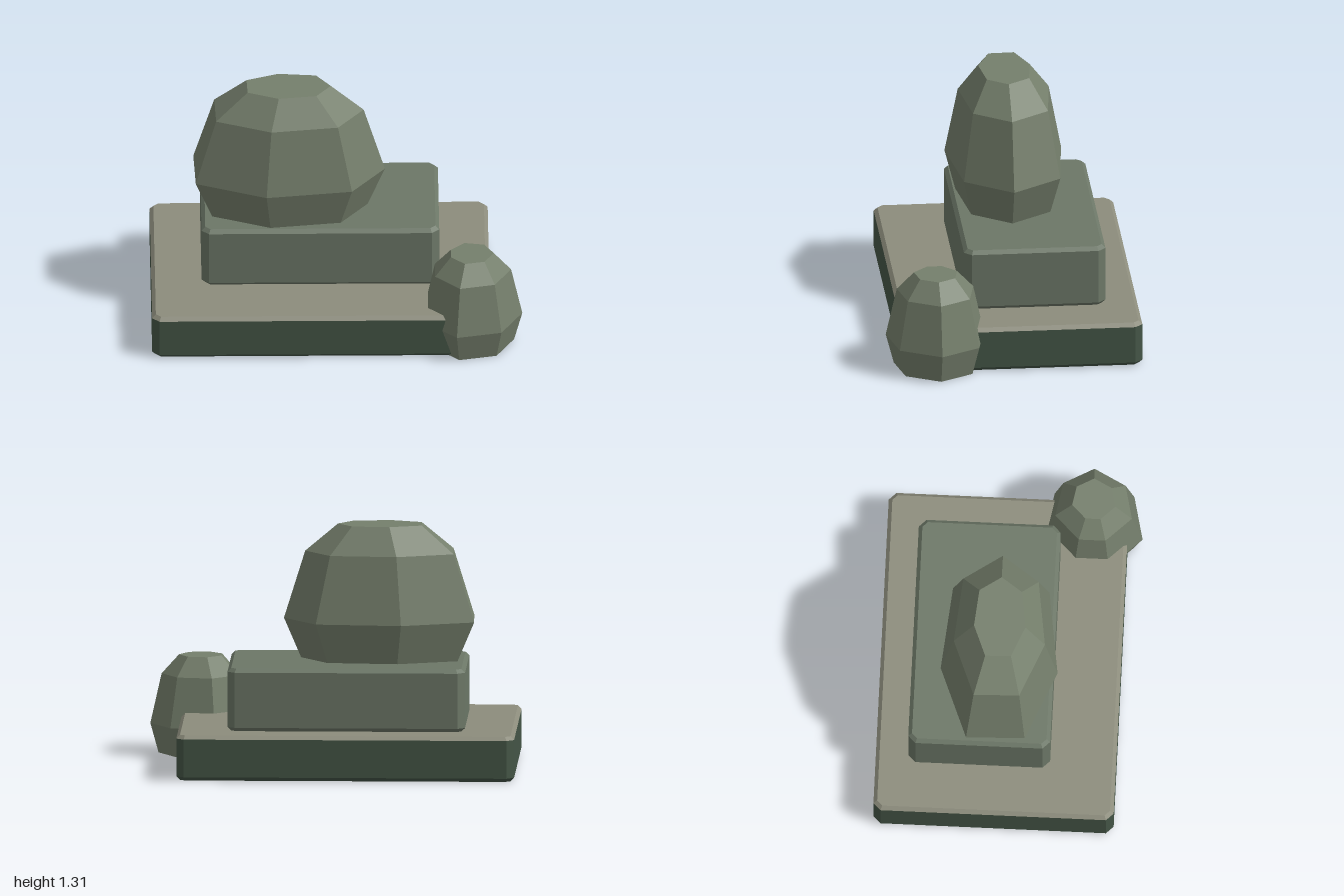
import * as THREE from 'three';

// Closed faceted solid from rings of [x, y, z] points (bottom to top, running from +x towards +z)
function loft(rings) {
  const pos = [];
  const n = rings[0].length;
  const tri = (a, b, c) => pos.push(...a, ...b, ...c);
  const centre = (ring) => [0, 1, 2].map((k) => ring.reduce((s, p) => s + p[k], 0) / n);
  const low = rings[0], high = rings[rings.length - 1];
  const lowMid = centre(low), highMid = centre(high);
  for (let i = 0; i < n; i++) {
    const j = (i + 1) % n;
    for (let r = 0; r < rings.length - 1; r++) {
      const a = rings[r], b = rings[r + 1];
      tri(a[i], b[i], b[j]);
      tri(a[i], b[j], a[j]);
    }
    tri(lowMid, low[i], low[j]);
    tri(highMid, high[j], high[i]);
  }
  const g = new THREE.BufferGeometry();
  g.setAttribute('position', new THREE.Float32BufferAttribute(pos, 3));
  g.computeVertexNormals();
  return g;
}

// Rectangle with cut corners, inset by d, at height y
function slabRing(x0, x1, z0, z1, y, d, cut = 0.04) {
  const a = x0 + d, b = x1 - d, c = z0 + d, e = z1 - d;
  const k = cut - d * 0.6;
  return [[b, c + k], [b, e - k], [b - k, e], [a + k, e], [a, e - k], [a, c + k], [a + k, c], [b - k, c]]
    .map(([x, z]) => [x, y, z]);
}

// Boulder: one outline scaled about its centre at several heights
function boulder(outline, [cx, cz], levels) {
  return loft(levels.map(([y, s]) => outline.map(([x, z]) => [cx + (x - cx) * s, y, cz + (z - cz) * s])));
}

export function createModel() {
  const group = new THREE.Group();
  const add = (name, geometry, color) => {
    const mesh = new THREE.Mesh(geometry, new THREE.MeshStandardMaterial({ color, flatShading: true }));
    mesh.name = name;
    group.add(mesh);
  };

  // Plinth with a pale top
  const base = (y, d) => slabRing(-1, 0.82, -0.69, 0.605, y, d);
  add('plinth', loft([base(0, 0.02), base(0.02, 0), base(0.225, 0)]), 0x445546);
  add('plinthTop', loft([base(0.225, 0), base(0.245, 0.02)]), 0x8c8c7c);

  // Upper block
  const block = (y, d) => slabRing(-0.73, 0.55, -0.515, 0.25, y, d);
  add('upperBlock', loft([block(0.245, 0.02), block(0.265, 0), block(0.565, 0), block(0.585, 0.02)]), 0x6c7767);

  // Large boulder on the block
  add('largeBoulder', boulder(
    [[-0.77, -0.2], [-0.38, -0.355], [0.08, -0.31], [0.26, -0.045], [0.08, 0.21], [-0.38, 0.275], [-0.76, 0.115]],
    [-0.26, -0.04],
    [[0.57, 0.81], [0.8, 1], [1.165, 0.78], [1.313, 0.44]]
  ), 0x757f6c);

  // Small boulder at the front left corner
  add('smallBoulder', boulder(
    [[0.995, 0.41], [0.88, 0.63], [0.64, 0.685], [0.47, 0.51], [0.47, 0.325], [0.64, 0.155], [0.88, 0.2]],
    [0.72, 0.42],
    [[0, 0.84], [0.16, 1], [0.43, 0.78], [0.533, 0.44]]
  ), 0x757f6c);

  return group;
}
